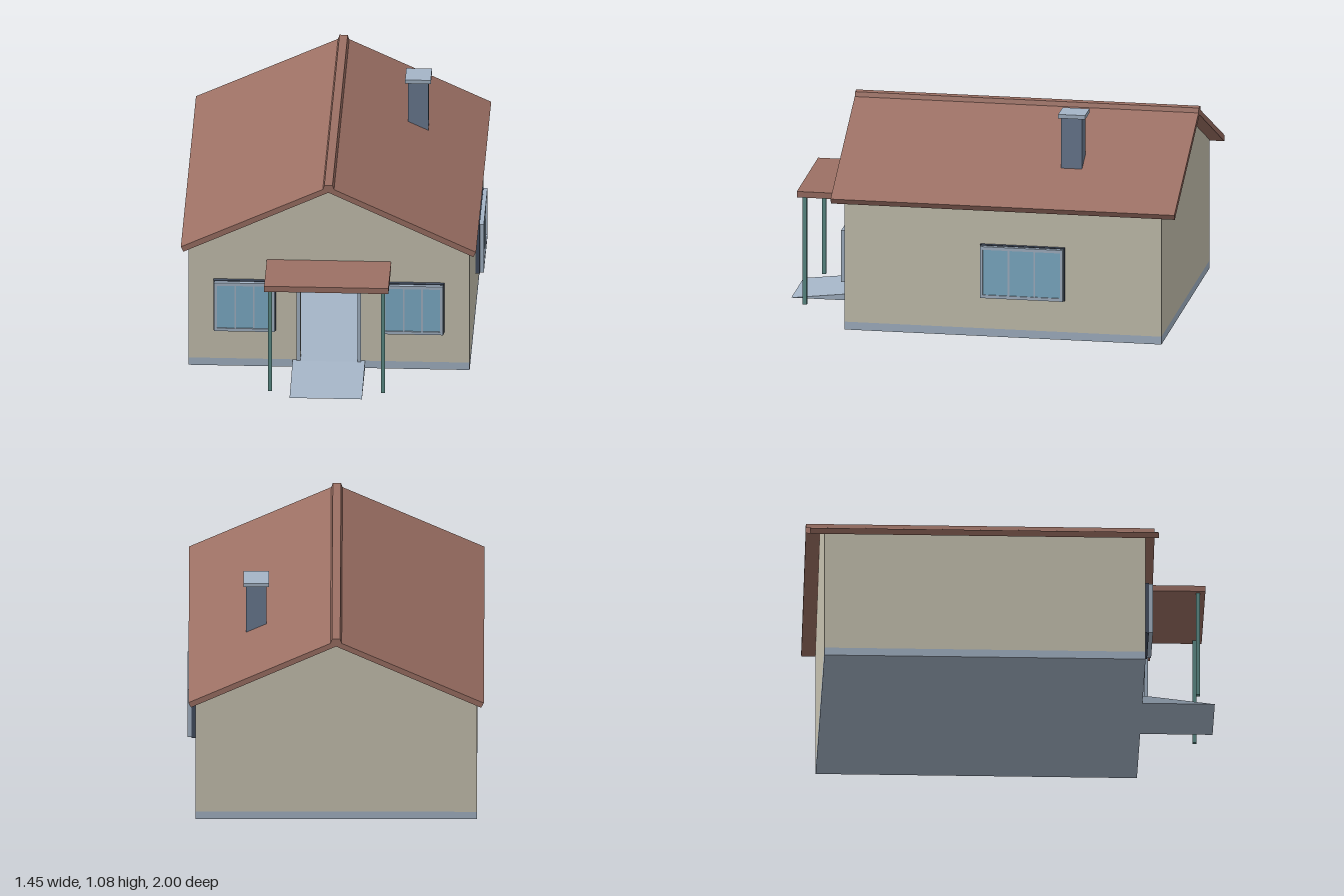
import * as THREE from 'three';

const mat = (color) => new THREE.MeshStandardMaterial({ color });
const WALL = mat(0xc9c4b2), ROOF = mat(0x9c7064), PALE = mat(0xa5b5c7), BRICK = mat(0x6b7b92),
  GLASS = mat(0x7fb0ca), POST = mat(0x5c8c87), DARK = mat(0x434e60);

// Box given by its lower and upper limits on each axis
function box(name, material, [x0, x1], [y0, y1], [z0, z1]) {
  const mesh = new THREE.Mesh(new THREE.BoxGeometry(x1 - x0, y1 - y0, z1 - z0), material);
  mesh.position.set((x0 + x1) / 2, (y0 + y1) / 2, (z0 + z1) / 2);
  mesh.name = name;
  return mesh;
}

// Outline in the xy plane, extruded from z0 to z1, with optional holes
function slab(name, material, points, z0, z1, holes = []) {
  const toVec = (p) => new THREE.Vector2(p[0], p[1]);
  const shape = new THREE.Shape(points.map(toVec));
  holes.forEach((h) => shape.holes.push(new THREE.Path(h.map(toVec))));
  const geometry = new THREE.ExtrudeGeometry(shape, { depth: z1 - z0, bevelEnabled: false });
  const mesh = new THREE.Mesh(geometry, material);
  mesh.position.z = z0;
  mesh.name = name;
  return mesh;
}

const rect = (w, h) => [[-w / 2, -h / 2], [w / 2, -h / 2], [w / 2, h / 2], [-w / 2, h / 2]];

// Three-pane window, back at z = 0, facing +z
function makeWindow(name, w, h) {
  const g = new THREE.Group();
  g.name = name;
  const iw = w - 0.036, ih = h - 0.04;
  g.add(slab('outerFrame', DARK, rect(w, h), 0, 0.02));
  g.add(slab('innerFrame', PALE, rect(w - 0.008, h - 0.008), 0.02, 0.04, [rect(iw, ih)]));
  g.add(box('glass', GLASS, [-iw / 2, iw / 2], [-ih / 2, ih / 2], [0.02, 0.034]));
  for (const s of [-1, 1]) {
    const x = s * iw / 6;
    g.add(box('mullion', PALE, [x - 0.004, x + 0.004], [-ih / 2, ih / 2], [0.02, 0.038]));
  }
  return g;
}

export function createModel() {
  const house = new THREE.Group();
  house.name = 'house';

  // Extents: walls, floor and ridge line
  const CX = -0.005, L = -0.695, R = 0.685, BACK = -0.93, FRONT = 0.645;
  const T = 0.05, BASE = 0.04, EAVE = 0.655, PEAK = 0.98;

  // Foundation and hollow walls, with a notch for the doorway
  house.add(box('foundation', PALE, [L, R], [0, BASE], [BACK, FRONT]));
  const gable = [[R, BASE], [R, EAVE], [CX, PEAK], [L, EAVE], [L, BASE]];
  house.add(slab('backWall', WALL, gable, BACK, BACK + T));
  const doorway = [[-0.145, BASE], [-0.145, 0.51], [0.135, 0.51], [0.135, BASE]];
  house.add(slab('frontWall', WALL, [...gable, ...doorway], FRONT - T, FRONT));
  house.add(box('leftWall', WALL, [R - T, R], [BASE, EAVE], [BACK + T, FRONT - T]));
  house.add(box('rightWall', WALL, [L, L + T], [BASE, EAVE], [BACK + T, FRONT - T]));

  // Roof slopes, mirrored about the ridge, and the ridge cap
  for (const s of [1, -1]) {
    const pts = [[0, PEAK], [0.711, 0.645], [0.724, 0.671], [0, 1.01]].map(([x, y]) => [CX + s * x, y]);
    house.add(slab('roofSlope', ROOF, pts, -1, 0.71));
  }
  const cap = [[-0.03, 0.99], [0.03, 0.99], [0.02, 1.02], [-0.02, 1.02]].map(([x, y]) => [CX + x, y]);
  house.add(slab('ridgeCap', ROOF, cap, -1, 0.71));

  // Chimney
  house.add(box('chimney', BRICK, [0.337, 0.437], [0.78, 1.06], [-0.492, -0.388]));
  house.add(box('chimneyCap', PALE, [0.324, 0.45], [1.06, 1.08], [-0.51, -0.376]));

  // Windows on the front and on the model's left side
  for (const s of [-1, 1]) {
    const win = makeWindow('frontWindow', 0.305, 0.27);
    win.position.set(CX + s * 0.413, 0.336, FRONT);
    house.add(win);
  }
  const side = makeWindow('sideWindow', 0.42, 0.27);
  side.rotation.y = Math.PI / 2;
  side.position.set(R, 0.336, -0.24);
  house.add(side);

  // Porch: door jambs, posts and canopy
  for (const s of [-1, 1]) {
    const jamb = CX + s * 0.149, post = CX + s * 0.277;
    house.add(box('doorJamb', PALE, [jamb - 0.009, jamb + 0.009], [BASE, 0.51], [FRONT - 0.005, 0.659]));
    house.add(box('porchPost', POST, [post - 0.01, post + 0.01], [0, 0.55], [0.904, 0.924]));
  }
  house.add(box('canopy', ROOF, [-0.31, 0.3], [0.55, 0.58], [FRONT, 0.95]));

  // Entrance ramp: profile in z and y, turned to run across x
  const ramp = slab('entranceRamp', PALE, [[-1, 0], [-FRONT, 0], [-FRONT, BASE], [-0.66, BASE]], 0, 0.355);
  ramp.rotation.y = Math.PI / 2;
  ramp.position.set(-0.183, 0, 0);
  house.add(ramp);

  return house;
}
